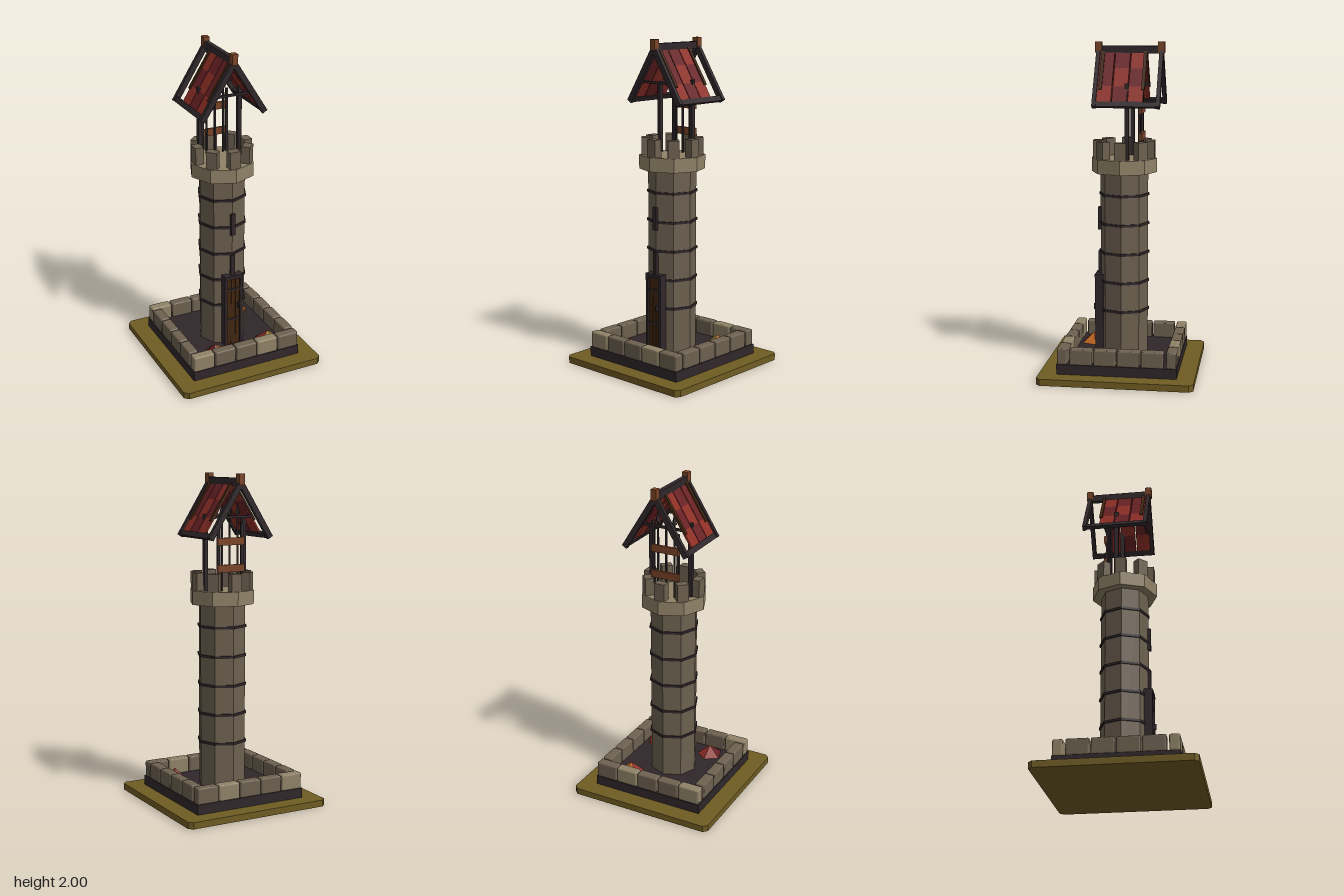
import * as THREE from 'three';
import { RoundedBoxGeometry } from 'three/addons/geometries/RoundedBoxGeometry.js';

const material = (name, color) => {
  const m = new THREE.MeshStandardMaterial({ color, flatShading: true });
  m.name = name;
  return m;
};

export function createModel() {
  const model = new THREE.Group();
  model.name = 'watchtower';
  const olive = material('olive ground', 0x705c23);
  const dark = material('dark timber', 0x30272a);
  const stone = material('stone', 0x6d6150);
  const pale = material('pale stone', 0x8f8267);
  const red = material('roof red', 0x8e2f26);
  const deepRed = material('deep red', 0x692124);
  const brown = material('warm wood', 0x7a4426);
  const doorWood = material('door wood', 0x42260f);
  const orange = material('leaf orange', 0xbd6622);
  const yellow = material('leaf yellow', 0x9c7a1e);

  const add = (name, geometry, mat, x = 0, y = 0, z = 0, parent = model) => {
    const mesh = new THREE.Mesh(geometry, mat);
    mesh.name = name;
    mesh.position.set(x, y, z);
    parent.add(mesh);
    return mesh;
  };
  const box = (name, mat, w, h, d, x, y, z, parent) =>
    add(name, new THREE.BoxGeometry(w, h, d), mat, x, y, z, parent);
  const group = (name) => {
    const g = new THREE.Group();
    g.name = name;
    model.add(g);
    return g;
  };

  // Ground slab with clipped corners
  const H = 0.467, C = 0.442;
  const outline = [[-C, -H], [C, -H], [H, -C], [H, C], [C, H], [-C, H], [-H, C], [-H, -C]];
  const slab = new THREE.ExtrudeGeometry(
    new THREE.Shape(outline.map(([x, y]) => new THREE.Vector2(x, y))),
    { depth: 0.04, bevelEnabled: false });
  slab.rotateX(-Math.PI / 2);
  add('groundSlab', slab, olive);
  box('foundation', dark, 0.72, 0.06, 0.72, 0, 0.07, 0);

  // Low wall of separate stones
  const wall = group('lowWall');
  const wallStone = (mat, w, d, x, z) =>
    add('wallStone', new RoundedBoxGeometry(w, 0.1, d, 2, 0.01), mat, x, 0.147, z, wall);
  for (const s of [-1, 1]) {
    for (let i = 0; i < 5; i++) {
      wallStone(i % 3 === 0 ? pale : stone, 0.138, 0.062, (i - 2) * 0.1435, s * 0.327);
    }
    for (let i = 0; i < 4; i++) wallStone(stone, 0.062, 0.136, s * 0.327, (i - 1.5) * 0.143);
  }

  // Octagonal shaft with dark bands
  add('shaft', new THREE.CylinderGeometry(0.146, 0.146, 1.13, 8), stone, 0, 0.665, 0);
  for (let i = 0; i < 5; i++) {
    add('band', new THREE.CylinderGeometry(0.154, 0.154, 0.015, 8), dark, 0, 0.374 + i * 0.178, 0);
  }

  // Parapet and merlons
  add('parapet', new THREE.CylinderGeometry(0.2, 0.2, 0.085, 8), pale, 0, 1.263, 0);
  for (let i = 0; i < 8; i++) {
    const a = i * Math.PI / 4;
    const merlon = box('merlon', stone, 0.068, 0.108, 0.052,
      Math.sin(a) * 0.16, 1.358, Math.cos(a) * 0.16);
    merlon.rotation.y = a;
  }

  // Door with frame, planks, straps and handle
  const door = group('door');
  for (const s of [-1, 1]) box('doorJamb', dark, 0.018, 0.485, 0.05, s * 0.052, 0.343, 0.148, door);
  box('doorLintel', dark, 0.122, 0.022, 0.054, 0, 0.578, 0.148, door);
  for (let i = -1; i <= 1; i++) {
    box('doorPlank', doorWood, 0.026, 0.468, 0.04, i * 0.029, 0.334, 0.142, door);
  }
  box('doorBacking', dark, 0.09, 0.468, 0.03, 0, 0.334, 0.142, door);
  for (const y of [0.28, 0.49]) box('doorStrap', dark, 0.086, 0.014, 0.006, 0, y, 0.165, door);
  box('doorHandle', dark, 0.01, 0.035, 0.02, 0.03, 0.38, 0.174, door);

  // Arrow slits on the front edge
  for (const [y, h] of [[0.655, 0.14], [0.93, 0.14]]) {
    box('arrowSlit', dark, 0.027, h, 0.022, 0, y, 0.149);
  }

  // Roof posts and tie beams
  const roof = group('roof');
  for (const s of [-1, 1]) {
    box('roofPost', dark, 0.024, 0.47, 0.026, s * 0.13, 1.525, -0.033, roof);
    box('tieBeam', dark, 0.27, 0.014, 0.014, 0, 1.745, s * 0.128, roof);
  }

  // Places a box along a roof slope: from/to are distances down from the ridge
  const pitch = Math.atan2(0.32, 0.2);
  const onSlope = (name, mat, side, from, to, lift, thick, z, depth) => {
    const d = (from + to) / 2;
    const mesh = box(name, mat, to - from, thick, depth,
      side * (d * Math.cos(pitch) + lift * Math.sin(pitch)),
      1.945 - d * Math.sin(pitch) + lift * Math.cos(pitch), z, roof);
    mesh.rotation.z = -side * pitch;
  };
  const tiles = [[0, 0, 1], [0, 1, 0], [1, 0, 1]];
  for (const side of [-1, 1]) {
    for (const z of [0.154, -0.224]) onSlope('rafter', dark, side, -0.01, 0.378, 0, 0.034, z, 0.024);
    onSlope('eaveRail', dark, side, 0.345, 0.378, 0, 0.022, -0.035, 0.4);
    tiles.forEach((row, i) => row.forEach((bright, j) =>
      onSlope('roofTile', bright ? red : deepRed, side, j * 0.121, (j + 1) * 0.121,
        0, 0.012, 0.1 - i * 0.0945, 0.089)));
    for (const z of [0.124, -0.13]) onSlope('batten', doorWood, side, 0.01, 0.265, 0.008, 0.012, z, 0.02);
  }
  box('ridgeBeam', dark, 0.028, 0.045, 0.4, 0, 1.953, -0.035, roof);
  for (const z of [0.154, -0.224]) box('ridgeCap', brown, 0.037, 0.065, 0.04, 0, 1.9675, z, roof);

  // Spear rack
  const rack = group('spearRack');
  for (const s of [-1, 1]) box('rackPost', dark, 0.016, 0.4, 0.014, s * 0.08, 1.505, -0.1, rack);
  for (const y of [1.44, 1.6]) box('rackPlank', brown, 0.18, 0.045, 0.014, 0, y, -0.11, rack);
  for (let i = -1; i <= 1; i++) {
    box('spearShaft', dark, 0.01, 0.46, 0.01, i * 0.054, 1.535, -0.095, rack);
    add('spearTip', new THREE.ConeGeometry(0.017, 0.07, 4), dark, i * 0.054, 1.795, -0.095, rack);
  }

  // Five-sided leaf piles, each facet its own colour
  const leafPile = (x, z, turn, mats) => {
    const cone = new THREE.ConeGeometry(0.08, 0.065, 5, 1, true).toNonIndexed();
    cone.clearGroups();
    const count = cone.attributes.position.count / 5;
    for (let i = 0; i < 5; i++) cone.addGroup(i * count, count, i);
    add('leafPile', cone, mats, x, 0.132, z).rotation.y = turn;
  };
  leafPile(-0.15, 0.215, 0.6, [orange, red, red, deepRed, red]);
  leafPile(0.22, 0.21, 0.2, [yellow, red, red, red, yellow]);
  leafPile(0.195, -0.205, 0.3, [orange, orange, orange, red, yellow]);

  return model;
}
